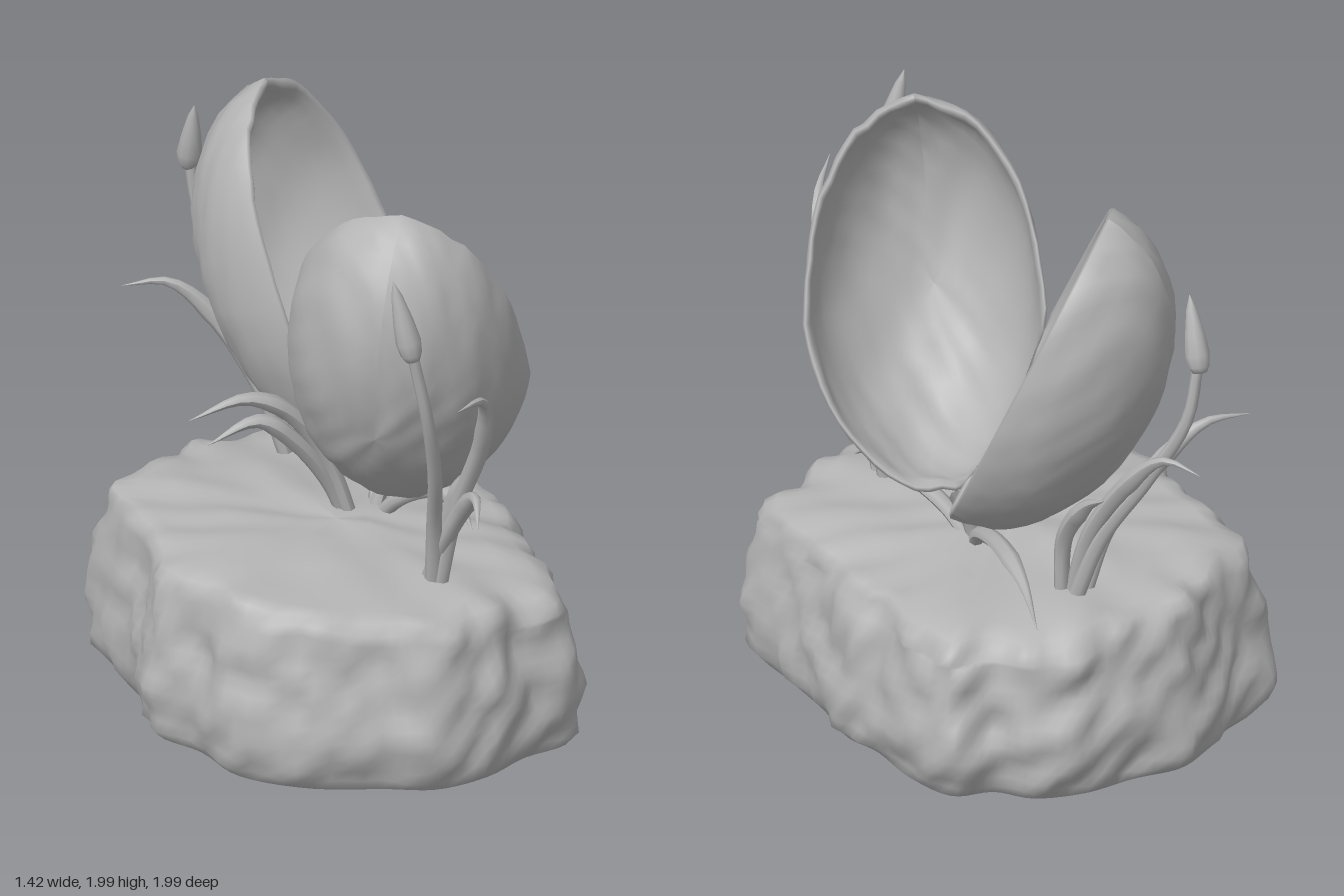
import * as THREE from 'three';

const V = (x, y, z) => new THREE.Vector3(x, y, z);
const clay = new THREE.MeshStandardMaterial({ color: 0xb4b4b4, side: THREE.DoubleSide });
clay.name = 'grey clay';

function part(parent, name, geometry) {
  const mesh = new THREE.Mesh(geometry, clay);
  mesh.name = name;
  parent.add(mesh);
  return mesh;
}

// Smooth pseudo-random bumps
const bump = (x, y, z) =>
  Math.sin(9 * x + 4 * y + 1.3) * Math.sin(8 * z - 5 * y) * 0.5 +
  Math.sin(17 * x - 13 * z + 6 * y) * Math.sin(15 * y + 9 * z + 2) * 0.5;

// Rounded lumps around the boulder's side, by angle and height
const lump = (a, y) =>
  Math.sin(13 * a + 2 * Math.sin(8 * y)) * Math.sin(14 * y + 3 * Math.sin(5 * a)) +
  0.6 * Math.sin(23 * a + 9 * y) * Math.sin(24 * y + 2 * Math.sin(9 * a));

// Boulder: irregular outline scaled through a stack of rings
function rockGeometry() {
  const outline = [
    [0.69, 0], [0.64, 0.2], [0.61, 0.42], [0.56, 0.7], [0.37, 0.74], [0.2, 0.81], [0, 0.82],
    [-0.16, 0.74], [-0.4, 0.62], [-0.58, 0.43], [-0.62, 0.22], [-0.7, 0.05], [-0.64, -0.18],
    [-0.63, -0.4], [-0.57, -0.68], [-0.39, -0.75], [-0.25, -0.82], [-0.1, -0.87], [0.08, -0.83],
    [0.27, -0.81], [0.44, -0.73], [0.52, -0.61], [0.65, -0.55], [0.69, -0.35], [0.67, -0.14],
  ].map(([x, z]) => V(x, 0, z));
  const curve = new THREE.CatmullRomCurve3(outline, true, 'centripetal');
  const n = 120;
  const rings = [[0.001, 0], [0.5, 0], [0.9, 0], [0.94, 0.015], [0.97, 0.05], [0.985, 0.09], [0.995, 0.13],
    [1, 0.17], [1, 0.21], [0.99, 0.25], [0.98, 0.29], [0.97, 0.33], [0.96, 0.37], [0.95, 0.41],
    [0.94, 0.45], [0.93, 0.49], [0.92, 0.53], [0.905, 0.565], [0.87, 0.595],
    [0.8, 0.61], [0.65, 0.625], [0.48, 0.635], [0.3, 0.64], [0.14, 0.65], [0.001, 0.65]];
  const pos = [], idx = [];
  rings.forEach(([s, y], r) => {
    for (let i = 0; i < n; i++) {
      const p = curve.getPoint(i / n);
      const side = y > 0.03 && s > 0.85;
      const rough = 0.02 * bump(p.x * 1.6, y * 2, p.z * 1.6) + 0.02 * lump(Math.atan2(p.z, p.x), y);
      const k = s + (side ? rough : 0);
      const lift = y > 0.5 ? 0.022 * bump(p.x * s * 1.3, 0.3, p.z * s * 1.3) - 0.045 * p.x * s : 0;
      pos.push(p.x * k, y + lift, p.z * k);
      if (r === 0) continue;
      const j = (i + 1) % n, a = (r - 1) * n, b = r * n;
      idx.push(a + i, b + i, a + j, b + i, b + j, a + j);
    }
  });
  const g = new THREE.BufferGeometry();
  g.setAttribute('position', new THREE.Float32BufferAttribute(pos, 3));
  g.setIndex(idx);
  g.computeVertexNormals();
  return g;
}

// Open shell half: a hollow half ellipsoid; side = 1 front, -1 back
function shellGeometry(side) {
  const n = 14, meet = -0.045, profile = [];
  for (let i = 0; i <= n; i++) {
    const a = (i / n) * Math.PI / 2;
    profile.push(new THREE.Vector2(Math.sin(a), -Math.cos(a)));
  }
  profile.push(new THREE.Vector2(0.98, 0.02));
  for (let i = n; i >= 0; i--) {
    const a = (i / n) * Math.PI / 2;
    profile.push(new THREE.Vector2(0.95 * Math.sin(a), -0.95 * Math.cos(a)));
  }
  const g = new THREE.LatheGeometry(profile, 56);
  const along = V(-0.26, 1.22, 0.5 * side).normalize();
  const open = V(0.6, 0.4, -0.72 * side);
  open.addScaledVector(along, -open.dot(along)).normalize();
  const across = new THREE.Vector3().crossVectors(open, along);
  const p = g.attributes.position;
  for (let i = 0; i < p.count; i++) {
    const x = p.getX(i), y = p.getY(i), z = p.getZ(i);
    const k = 1 + 0.022 * bump(x * 1.1, y, z * 1.1);
    // The lower left wall flares out
    const width = 0.38 + 0.03 * Math.max(0, x * side) * (1 - z);
    const v = V(0.14, 1.395, meet + 0.28 * side)
      .addScaledVector(across, width * x * k)
      .addScaledVector(open, 0.43 * y * k)
      .addScaledVector(along, 0.65 * z * k);
    // The halves press flat where they touch
    const gap = Math.max((v.z - meet) * side, 0.004);
    p.setXYZ(i, v.x, v.y, meet + gap * side);
  }
  g.computeVertexNormals();
  return g;
}

// Tube along a curve whose radius follows a function of t
function taperedTube(points, radius, sides = 7) {
  const curve = new THREE.CatmullRomCurve3(points.map((p) => V(...p)));
  const seg = 20;
  const g = new THREE.TubeGeometry(curve, seg, 1, sides);
  const p = g.attributes.position, v = V(0, 0, 0);
  for (let i = 0; i < p.count; i++) {
    const t = Math.floor(i / (sides + 1)) / seg;
    const c = curve.getPointAt(t);
    v.fromBufferAttribute(p, i).sub(c).multiplyScalar(radius(t)).add(c);
    p.setXYZ(i, v.x, v.y, v.z);
  }
  g.computeVertexNormals();
  return g;
}

const leafRadius = (t) => (t < 0.65 ? 0.025 + 0.01 * t : 0.0315 * (1 - (t - 0.65) / 0.35) + 0.001);
const stemRadius = (t) => 0.03 - 0.011 * t;

// Bud: pointed spindle standing on a stem end
function addBud(parent, name, base, tip) {
  const a = V(...base), b = V(...tip), len = a.distanceTo(b);
  const profile = [[0.001, 0], [0.025, 0.02], [0.036, 0.1], [0.042, 0.25], [0.034, 0.5], [0.018, 0.82], [0.001, 1]]
    .map(([r, h]) => new THREE.Vector2(r, h * len));
  const bud = part(parent, name, new THREE.LatheGeometry(profile, 10));
  bud.position.copy(a);
  bud.quaternion.setFromUnitVectors(V(0, 1, 0), b.sub(a).normalize());
}

export function createModel() {
  const model = new THREE.Group();
  model.name = 'shellPlantOnRock';

  part(model, 'rock', rockGeometry());
  part(model, 'frontShell', shellGeometry(1));
  part(model, 'backShell', shellGeometry(-1));

  // Short stalk holding both shells
  part(model, 'shellStalk', taperedTube(
    [[0.16, 0.6, -0.045], [0.19, 0.7, -0.045], [0.24, 0.8, -0.045]], () => 0.025));

  // Budding stems
  const stems = {
    front: [[0.13, 0.58, 0.47], [0.1, 0.85, 0.54], [0.04, 1.12, 0.67], [-0.03, 1.38, 0.76], [-0.09, 1.64, 0.775]],
    back: [[0.13, 0.58, -0.53], [0.08, 0.85, -0.62], [0, 1.1, -0.76], [-0.07, 1.35, -0.88], [-0.1, 1.56, -0.9]],
  };
  for (const [name, points] of Object.entries(stems)) {
    part(model, name + 'Stem', taperedTube(points, stemRadius));
  }
  addBud(model, 'frontBud', [-0.09, 1.62, 0.78], [-0.145, 1.91, 0.74]);
  addBud(model, 'backBud', [-0.1, 1.53, -0.91], [-0.11, 1.79, -0.84]);

  // Arching leaves
  const leaves = [
    [[0.14, 0.58, 0.49], [0.16, 0.9, 0.57], [0.18, 1.25, 0.74], [0.12, 1.46, 0.86], [-0.03, 1.52, 0.99]],
    [[0.12, 0.58, 0.43], [0.14, 0.8, 0.54], [0.16, 0.98, 0.66], [0.14, 1.05, 0.77], [0.1, 1.0, 0.87]],
    [[0.15, 0.58, 0.45], [0.17, 0.8, 0.47], [0.2, 1.0, 0.55], [0.22, 1.1, 0.66]],
    [[0.12, 0.58, -0.5], [0.1, 0.85, -0.58], [0.06, 1.1, -0.74], [0.02, 1.23, -0.88], [-0.03, 1.21, -1.0]],
    [[0.08, 0.58, -0.52], [0, 0.85, -0.56], [-0.12, 1.1, -0.68], [-0.25, 1.22, -0.74], [-0.4, 1.22, -0.78]],
    [[0.14, 0.58, -0.48], [0.15, 0.82, -0.51], [0.16, 1.0, -0.64], [0.18, 1.08, -0.76]],
    [[0.08, 0.6, -0.04], [0, 0.83, -0.05], [-0.14, 1.04, -0.05], [-0.3, 1.13, -0.05], [-0.5, 1.09, -0.06]],
    [[0.07, 0.6, -0.07], [0, 0.76, -0.06], [-0.13, 0.94, -0.05], [-0.26, 1.04, -0.05], [-0.44, 0.99, -0.05]],
    [[0.17, 0.6, -0.05], [0.22, 0.7, -0.15], [0.32, 0.79, -0.4], [0.4, 0.78, -0.62], [0.43, 0.67, -0.73]],
    [[0.17, 0.6, -0.03], [0.2, 0.7, 0.06], [0.26, 0.79, 0.2], [0.28, 0.8, 0.37], [0.28, 0.75, 0.45]],
  ];
  leaves.forEach((points, i) => part(model, 'leaf' + (i + 1), taperedTube(points, leafRadius)));

  return model;
}
